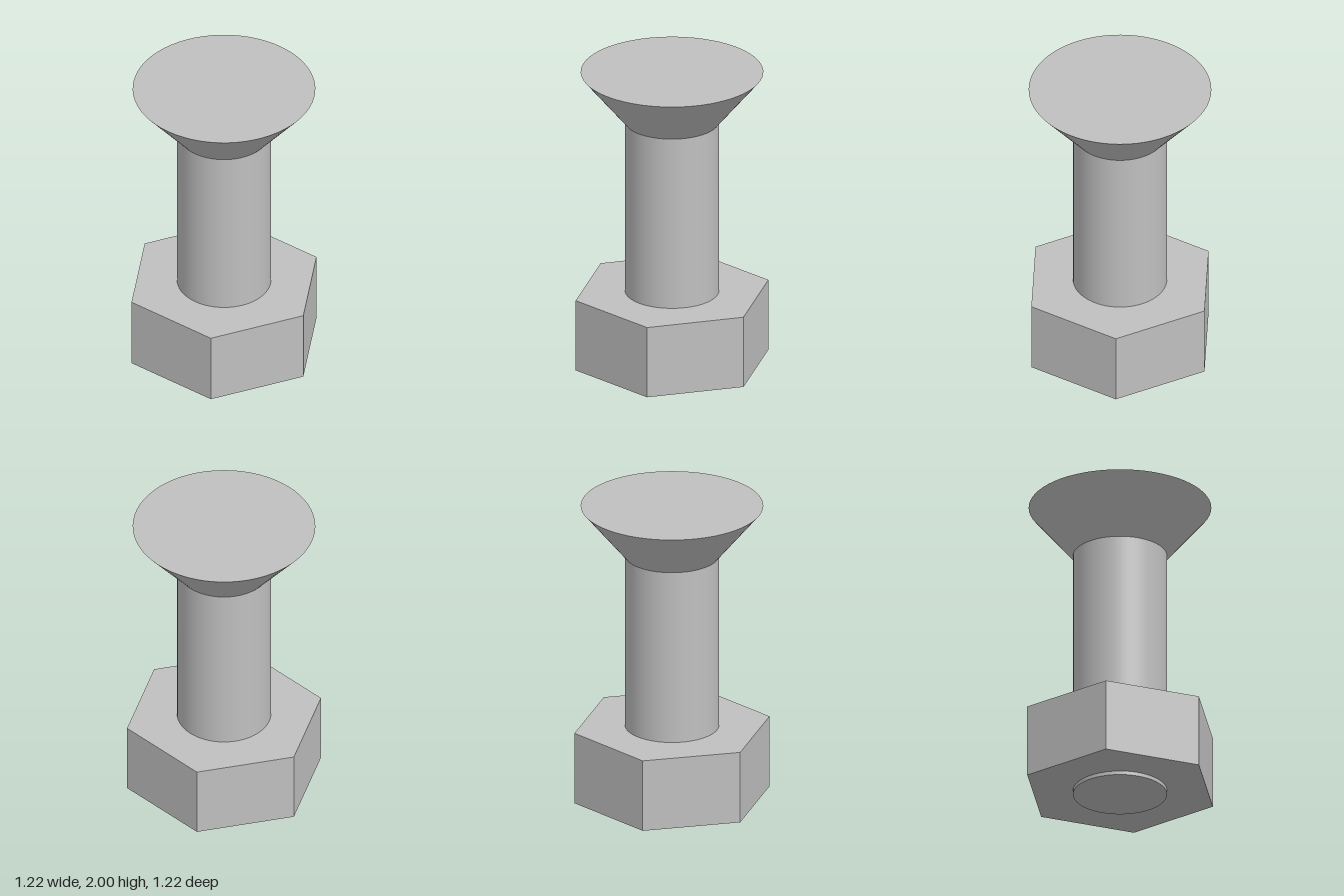
import * as THREE from 'three';

export function createModel() {
  const model = new THREE.Group();
  model.name = 'countersunkBoltWithNut';

  const steel = new THREE.MeshStandardMaterial({ color: 0xc0c0c0 });
  steel.name = 'steelGrey';
  const facetedSteel = steel.clone();
  facetedSteel.flatShading = true;

  // Upright cylinder or cone between two heights
  function addRound(name, rTop, rBottom, y0, y1, sides, material, start = 0) {
    const geometry = new THREE.CylinderGeometry(rTop, rBottom, y1 - y0, sides, 1, false, start);
    const mesh = new THREE.Mesh(geometry, material);
    mesh.name = name;
    mesh.position.y = (y0 + y1) / 2;
    model.add(mesh);
  }

  // Flat-topped countersunk head
  addRound('head', 0.578, 0.298, 1.663, 2, 64, steel);
  // Smooth shank, its tip just clear of the nut
  addRound('shank', 0.298, 0.298, 0, 1.663, 64, steel);
  // Hexagonal nut with one corner on the diagonal
  addRound('nut', 0.633, 0.633, 0.025, 0.503, 6, facetedSteel, Math.PI / 4);

  return model;
}
